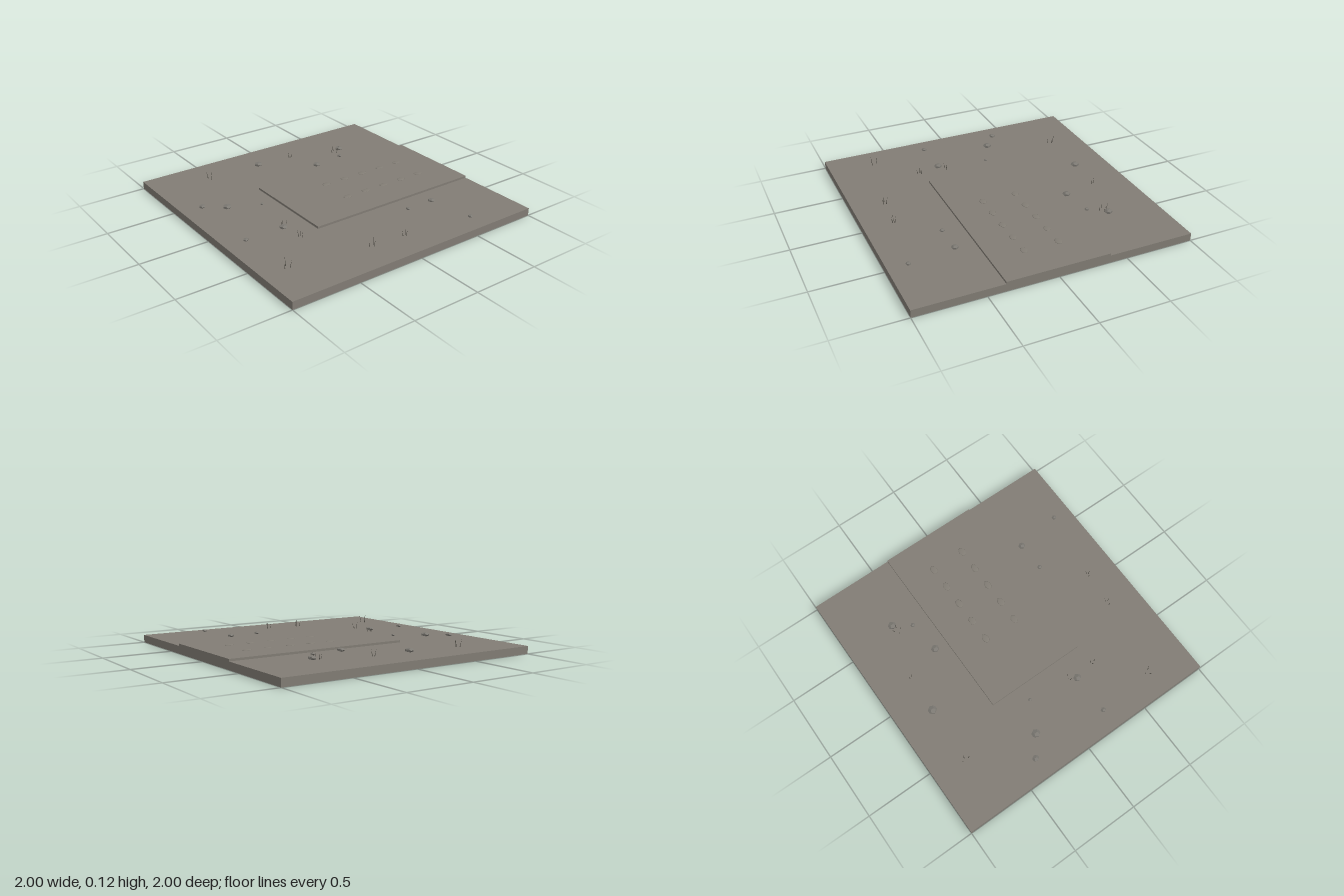
import * as THREE from 'three';

const GROUND = 0.056;

function material(name, color, extra = {}) {
  const m = new THREE.MeshStandardMaterial({ color, ...extra });
  m.name = name;
  return m;
}

function add(parent, name, geometry, mat, x, y, z) {
  const mesh = new THREE.Mesh(geometry, mat);
  mesh.name = name;
  mesh.position.set(x, y, z);
  parent.add(mesh);
  return mesh;
}

export function createModel() {
  const model = new THREE.Group();
  model.name = 'stonyGround';
  const earth = material('earth grey', 0x827d75);
  const stone = material('stone grey', 0x7c7973, { flatShading: true });
  const straw = material('dry grass', 0x55524b, { flatShading: true });

  // Square ground slab and the raised path running to its back edge
  add(model, 'groundSlab', new THREE.BoxGeometry(2, GROUND, 2), earth, 0, GROUND / 2, 0);
  add(model, 'path', new THREE.BoxGeometry(0.745, 0.016, 1.37), earth, 0, GROUND + 0.008, -0.315);

  // Two rows of shallow bumps along the path
  const bump = new THREE.SphereGeometry(1, 12, 8);
  for (const x of [-0.13, 0.125]) {
    for (let i = 0; i < 5; i++) {
      const mesh = add(model, 'pathBump', bump, earth, x, 0.072, -0.735 + i * 0.167);
      mesh.scale.set(0.024, 0.004, 0.035);
    }
  }

  // Flattened rocks: x, z, radius
  const rock = new THREE.DodecahedronGeometry(1, 0);
  const rocks = [
    [-0.625, -0.545, 0.031], [-0.5, -0.46, 0.017], [-0.47, -0.215, 0.03], [-0.74, 0.15, 0.033],
    [-0.14, 0.49, 0.013], [0.23, 0.555, 0.03], [-0.25, 0.71, 0.033], [-0.355, 0.85, 0.025],
    [0.235, 0.85, 0.02], [0.52, -0.515, 0.026], [0.525, -0.295, 0.018], [0.86, -0.565, 0.018],
  ];
  for (const [x, z, r] of rocks) {
    add(model, 'rock', rock, stone, x, 0.071, z).scale.set(r, 0.003 + r * 0.38, r);
  }

  // Grass tufts: x, z, spread in x, spread in z, blade count, height
  const blade = new THREE.ConeGeometry(0.003, 1, 4);
  blade.translate(0, 0.5, 0);
  const tufts = [
    [-0.61, -0.495, 0.025, 0.025, 4, 0.055], [-0.73, -0.14, 0.008, 0.008, 2, 0.055],
    [0.785, -0.04, 0.008, 0.015, 3, 0.06], [0.765, 0.22, 0.01, 0.02, 3, 0.06],
    [0.18, 0.52, 0.006, 0.02, 3, 0.04], [0.39, 0.525, 0.016, 0.01, 3, 0.06],
    [-0.75, 0.57, 0.025, 0.01, 3, 0.065], [0.665, 0.815, 0.02, 0.02, 3, 0.07],
  ];
  for (const [x, z, sx, sz, count, h] of tufts) {
    const tuft = new THREE.Group();
    tuft.name = 'grassTuft';
    tuft.position.set(x, GROUND, z);
    for (let i = 0; i < count; i++) {
      const a = (i / count) * Math.PI * 2 + x * 5;
      const mesh = add(tuft, 'grassBlade', blade, straw, Math.cos(a) * sx, 0, Math.sin(a) * sz);
      mesh.scale.y = h * (1 - 0.12 * i);
      mesh.rotation.set(Math.sin(a) * 0.2, 0, -Math.cos(a) * 0.2);
    }
    model.add(tuft);
  }
  return model;
}
